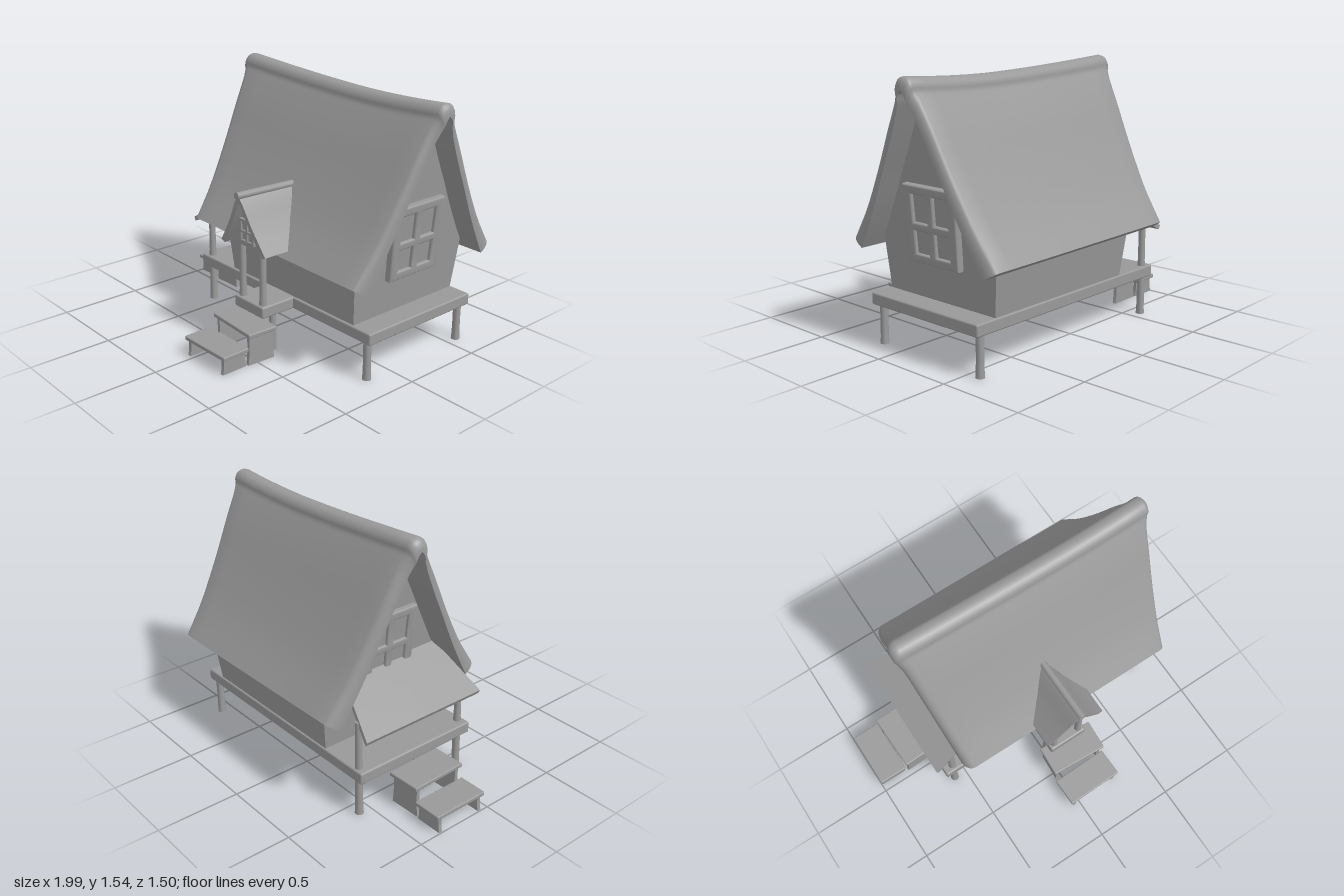
import * as THREE from 'three';
import { toCreasedNormals } from 'three/addons/utils/BufferGeometryUtils.js';
import { RoundedBoxGeometry } from 'three/addons/geometries/RoundedBoxGeometry.js';

const material = new THREE.MeshStandardMaterial({ color: 0x999999 });
const { lerp, clamp, smoothstep } = THREE.MathUtils;

function add(parent, name, geometry, x = 0, y = 0, z = 0) {
  const mesh = new THREE.Mesh(geometry, material);
  mesh.name = name;
  mesh.position.set(x, y, z);
  parent.add(mesh);
  return mesh;
}

// Closed sheet between two surfaces top(u, v) and bottom(u, v), each giving [x, y, z]
function sheet(top, bottom, nu, nv) {
  const pos = [], idx = [], n = (nu + 1) * (nv + 1);
  for (const f of [top, bottom])
    for (let i = 0; i <= nu; i++)
      for (let j = 0; j <= nv; j++) pos.push(...f(i / nu, j / nv));
  const at = (i, j) => i * (nv + 1) + j;
  for (let i = 0; i < nu; i++)
    for (let j = 0; j < nv; j++) {
      const a = at(i, j), b = at(i + 1, j), c = at(i + 1, j + 1), d = at(i, j + 1);
      idx.push(a, b, c, a, c, d, a + n, c + n, b + n, a + n, d + n, c + n);
    }
  const rim = (p, q) => idx.push(p, p + n, q + n, p, q + n, q);
  for (let i = 0; i < nu; i++) {
    rim(at(i, 0), at(i + 1, 0));
    rim(at(i + 1, nv), at(i, nv));
  }
  for (let j = 0; j < nv; j++) {
    rim(at(nu, j), at(nu, j + 1));
    rim(at(0, j + 1), at(0, j));
  }
  const geometry = new THREE.BufferGeometry();
  geometry.setAttribute('position', new THREE.Float32BufferAttribute(pos, 3));
  geometry.setIndex(idx);
  return toCreasedNormals(geometry, 0.8);
}

// Mirrored roof profile: v runs from one eave over the ridge to the other; returns [side, height]
function profile(points) {
  const curve = new THREE.CatmullRomCurve3(points.map(([d, y]) => new THREE.Vector3(d, y, 0)));
  return v => {
    const p = curve.getPoint(1 - Math.abs(2 * v - 1));
    return [v < 0.5 ? -p.x : p.x, p.y];
  };
}

// Lengthwise sag of the thatch
const sag = u => (u < 0.66 ? 0.05 * ((0.66 - u) / 0.66) ** 1.5 : 0.02 * ((u - 0.66) / 0.34) ** 2);

// Thatch with a rolled ridge; both profiles have the same number of points so the edges pair up
function mainRoof(group) {
  const outer = profile([[0.54, 0.605], [0.415, 0.78], [0.31, 0.96], [0.235, 1.1], [0.16, 1.25],
    [0.082, 1.39], [0.062, 1.425], [0.058, 1.455], [0.036, 1.485], [0, 1.495]]);
  const inner = profile([[0.46, 0.56], [0.385, 0.685], [0.305, 0.83], [0.225, 0.99], [0.145, 1.145],
    [0.06, 1.32], [0.035, 1.37], [0.03, 1.385], [0.02, 1.41], [0, 1.43]]);
  const columns = 24, round = 5;
  // The first and last columns roll the outer surface down to the inner one
  const surface = isOuter => (u, v) => {
    const i = u * columns, angle = (Math.min(i, columns - i, round) / round) * Math.PI / 2;
    const m = clamp((i - round) / (columns - 2 * round), 0, 1);
    const a = inner(v), b = outer(v), k = isOuter ? Math.sin(angle) : 0;
    const d = lerp(a[0], b[0], k), y = lerp(a[1], b[1], k);
    const t = (y - 0.56) / 0.94, tip = 0.02 * smoothstep(b[1], 1.36, 1.46);
    const inset = 0.055 * (1 - Math.cos(angle));
    const x = lerp(lerp(-0.548, -0.63, t) - tip + inset, lerp(0.89, 0.98, t) + tip - inset * 0.7, m);
    return [x, y + sag(m) * t - 0.015 * m * (1 - t), -0.208 - d];
  };
  add(group, 'thatchedRoof', sheet(surface(true), surface(false), columns, 44));
}

// Walls flare outward as they rise
const wallLeft = y => -0.32 - 0.1 * (y - 0.3);
const wallRight = y => 0.73 + 0.09 * (y - 0.3);

function walls(group) {
  const outline = [[0.19, 0.29], [0.215, 0.6], [-0.176, 1.38], [-0.24, 1.38], [-0.635, 0.6], [-0.6, 0.29]];
  const shape = new THREE.Shape(outline.map(([z, y]) => new THREE.Vector2(-z, y)));
  const geometry = new THREE.ExtrudeGeometry(shape, { depth: 1, bevelEnabled: false, steps: 4 }).rotateY(Math.PI / 2);
  const p = geometry.attributes.position;
  for (let i = 0; i < p.count; i++) p.setX(i, lerp(wallLeft(p.getY(i)), wallRight(p.getY(i)), p.getX(i)));
  add(group, 'walls', toCreasedNormals(geometry, 0.3));
}

// Four-pane window centred on its own origin, facing +z, narrower at the foot
function windowFrame(w, h, depth) {
  const group = new THREE.Group();
  group.name = 'window';
  const rect = (Type, x0, y0, x1, y1) =>
    new Type([[x0, y0], [x1, y0], [x1, y1], [x0, y1]].map(([x, y]) => new THREE.Vector2(x * w * (1 + 0.06 * y), y * h)));
  const bevel = Math.min(0.01, w * 0.03);
  const trim = rect(THREE.Shape, -0.475, -0.48, 0.475, 0.48);
  for (const [x0, x1] of [[-0.37, -0.04], [0.04, 0.37]])
    for (const [y0, y1] of [[-0.41, -0.06], [0, 0.41]]) trim.holes.push(rect(THREE.Path, x0, y0, x1, y1));
  const geometry = new THREE.ExtrudeGeometry(trim, {
    depth: depth - bevel, bevelThickness: bevel, bevelSize: bevel, bevelSegments: 3,
  });
  add(group, 'windowTrim', toCreasedNormals(geometry, 0.7));
  add(group, 'windowPanes', new THREE.BoxGeometry(w * 0.88, h * 0.9, depth * 0.5), 0, 0, depth * 0.25);
  return group;
}

function placeWindow(group, w, h, depth, x, y, z, turn, lean) {
  const win = windowFrame(w, h, depth);
  win.position.set(x, y, z);
  win.rotation.set(lean, turn, 0, 'YXZ');
  group.add(win);
}

function post(group, name, x, z, y0, y1, r = 0.021) {
  const points = [[1.12, 0], [1, 0.15], [0.96, 0.5], [1, 1]].map(([s, t]) => new THREE.Vector2(r * s, lerp(y0, y1, t)));
  points.unshift(new THREE.Vector2(0, y0));
  points.push(new THREE.Vector2(0, y1));
  add(group, name, toCreasedNormals(new THREE.LatheGeometry(points, 14), 0.7), x, 0, z);
}

function frontPorch(group) {
  const porch = new THREE.Group();
  porch.name = 'frontPorch';
  group.add(porch);
  const cx = 0.12;
  const outer = profile([[0.197, 0.635], [0.095, 0.79], [0.04, 0.895], [0, 0.955]]);
  const inner = profile([[0.168, 0.622], [0.072, 0.775], [0.02, 0.875], [0, 0.91]]);
  const surface = f => (u, v) => {
    const [d, y] = f(v), t = (y - 0.63) / 0.33;
    return [cx + d, y, lerp(lerp(0.27, 0.06, t), lerp(0.465, 0.495, t), u)];
  };
  add(porch, 'porchRoof', sheet(surface(outer), surface(inner), 4, 12));

  // Ridge pole dips slightly towards the house
  const pole = new THREE.CylinderGeometry(0.021, 0.021, 0.43, 12).rotateX(Math.PI / 2);
  add(porch, 'porchRidgePole', pole, cx, 0.945, 0.29).rotation.x = -0.03;

  // Closed gable
  const gable = new THREE.Shape([[-0.16, 0.63], [0.16, 0.63], [0.068, 0.78], [0, 0.91], [-0.068, 0.78]]
    .map(([x, y]) => new THREE.Vector2(x, y)));
  add(porch, 'porchGable', new THREE.ExtrudeGeometry(gable, { depth: 0.28, bevelEnabled: false }), cx, 0, 0.145);
  placeWindow(porch, 0.13, 0.14, 0.018, cx, 0.725, 0.423, 0, 0);

  add(porch, 'porchDeck', new RoundedBoxGeometry(0.255, 0.07, 0.25, 2, 0.01), 0.118, 0.265, 0.305);
  for (const x of [0.027, 0.207]) {
    post(porch, 'porchPost', x, 0.395, 0.29, 0.64);
    post(porch, 'porchFoot', x, 0.325, 0, 0.24);
  }
}

function sidePorch(group) {
  const porch = new THREE.Group();
  porch.name = 'sidePorch';
  group.add(porch);
  // Lean-to roof, wider at its outer edge
  const surface = drop => (u, v) => [
    lerp(-0.7, -0.35, u) + drop * 0.5,
    lerp(0.535, 0.745, u) - drop,
    lerp(lerp(0.215, 0.165, u), lerp(-0.62, -0.5, u), v),
  ];
  add(porch, 'leanToRoof', sheet(surface(0), surface(0.024), 2, 2));
  for (const z of [0.165, -0.575]) post(porch, 'leanToPost', -0.578, z, 0.29, 0.59);
}

// Bench-like step: tread of length l and depth d on two slightly waisted side boards, along local x
function step(l, d, h) {
  const group = new THREE.Group();
  group.name = 'step';
  add(group, 'tread', new RoundedBoxGeometry(l, 0.025, d, 2, 0.006), 0, h - 0.0125, 0);
  const side = new THREE.Shape(), a = d / 2 - 0.006, top = h - 0.02;
  side.moveTo(-a, 0);
  side.lineTo(a, 0);
  side.quadraticCurveTo(a - 0.014, top * 0.5, a - 0.006, top);
  side.lineTo(-a + 0.006, top);
  side.quadraticCurveTo(-a + 0.014, top * 0.5, -a, 0);
  for (const s of [-1, 1]) {
    const board = new THREE.ExtrudeGeometry(side, { depth: 0.022, bevelEnabled: false, curveSegments: 6 });
    board.translate(0, 0, -0.011).rotateY(Math.PI / 2);
    add(group, 'sideBoard', board, s * (l / 2 - 0.03), 0, 0);
  }
  return group;
}

function placeStep(group, l, d, h, x, z, turn) {
  const s = step(l, d, h);
  s.position.set(x, 0, z);
  s.rotation.y = turn;
  group.add(s);
}

export function createModel() {
  const house = new THREE.Group();
  house.name = 'stiltCottage';

  // Deck on corner posts
  add(house, 'deck', new RoundedBoxGeometry(1.51, 0.07, 0.815, 2, 0.01), 0.115, 0.265, -0.203);
  for (const x of [-0.578, 0.815])
    for (const z of [0.165, -0.575]) post(house, 'deckPost', x, z, 0, 0.24, 0.023);

  walls(house);
  mainRoof(house);
  placeWindow(house, 0.38, 0.425, 0.04, wallRight(0.722), 0.722, -0.21, Math.PI / 2, 0.09);
  placeWindow(house, 0.35, 0.4, 0.035, wallLeft(0.85), 0.85, -0.208, -Math.PI / 2, 0.1);
  frontPorch(house);
  sidePorch(house);

  // Two flights of two steps each
  placeStep(house, 0.36, 0.19, 0.2, 0.125, 0.465, -0.06);
  placeStep(house, 0.36, 0.178, 0.117, 0.113, 0.659, 0.02);
  placeStep(house, 0.36, 0.21, 0.2, -0.711, -0.2, Math.PI / 2 + 0.03);
  placeStep(house, 0.355, 0.18, 0.117, -0.91, -0.205, Math.PI / 2);
  return house;
}
